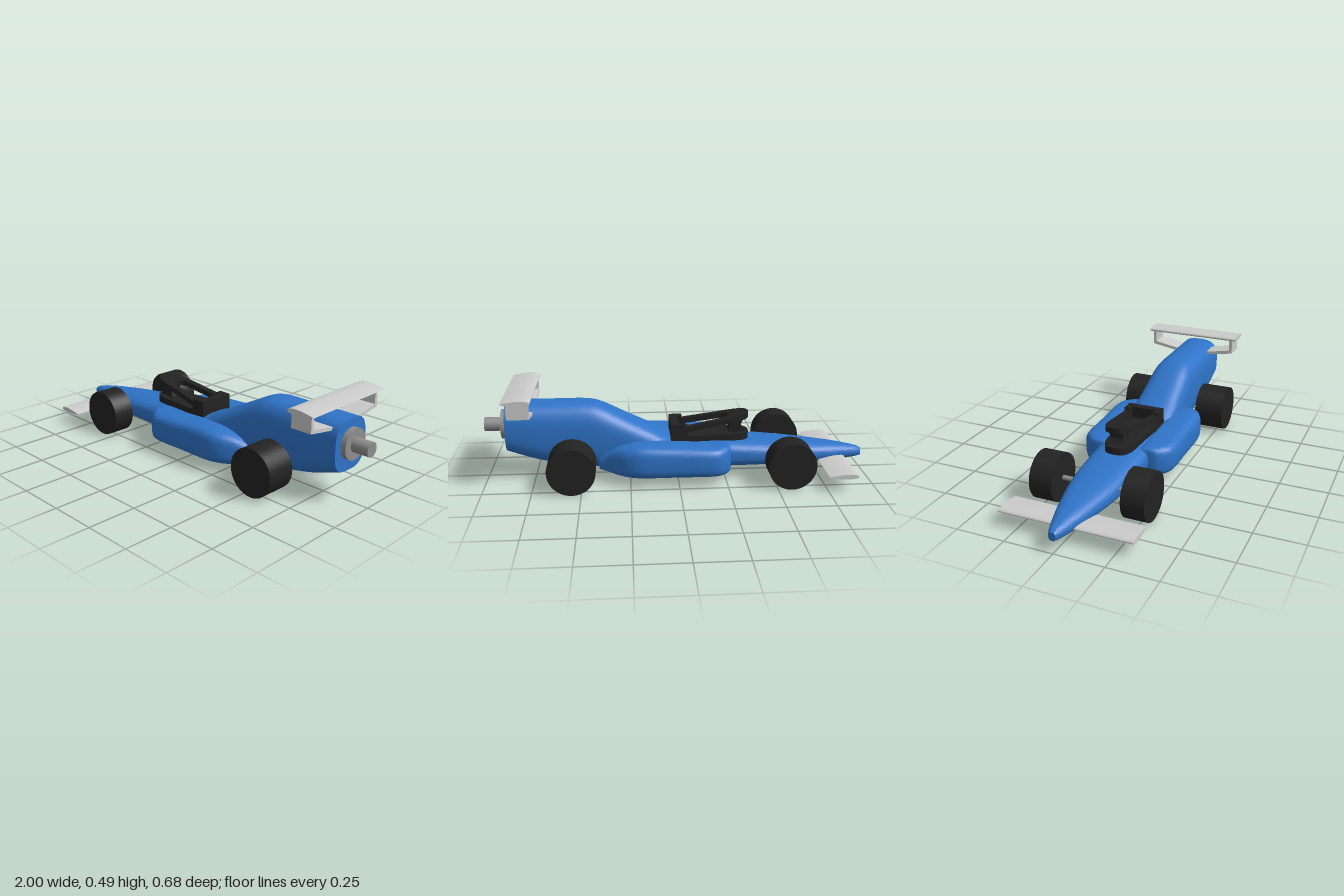
import * as THREE from 'three';
import { toCreasedNormals } from 'three/addons/utils/BufferGeometryUtils.js';

const mat = (color) => new THREE.MeshStandardMaterial({ color, side: THREE.DoubleSide });
const BLUE = mat(0x2f74c8), BLACK = mat(0x222222), GREY = mat(0xcccccc), STEEL = mat(0x8e8e8e);

// Loft closed [y, z] rings along x, capped at both ends
function loft(stations, ring, samples) {
  const curves = [1, 2, 3, 4].map((k) =>
    new THREE.SplineCurve(stations.map((s) => new THREE.Vector2(s[0], s[k]))));
  const pos = [], idx = [];
  let n = 0;
  for (let i = 0; i <= samples; i++) {
    const p = curves.map((c) => c.getPoint(i / samples));
    const pts = ring(p[0].x, ...p.map((v) => v.y));
    n = pts.length;
    for (const [y, z] of pts) pos.push(p[0].x, y, z);
  }
  for (let i = 0; i < samples; i++) {
    for (let j = 0; j < n; j++) {
      const a = i * n + j, b = i * n + (j + 1) % n;
      idx.push(a, a + n, b + n, a, b + n, b);
    }
  }
  for (const [row, end] of [[0, false], [samples, true]]) {
    const c = pos.length / 3;
    let y = 0, z = 0;
    for (let j = 0; j < n; j++) {
      y += pos[(row * n + j) * 3 + 1] / n;
      z += pos[(row * n + j) * 3 + 2] / n;
    }
    pos.push(pos[row * n * 3], y, z);
    for (let j = 0; j < n; j++) {
      const a = row * n + j, b = row * n + (j + 1) % n;
      if (end) idx.push(c, b, a); else idx.push(c, a, b);
    }
  }
  const g = new THREE.BufferGeometry();
  g.setAttribute('position', new THREE.Float32BufferAttribute(pos, 3));
  g.setIndex(idx);
  return toCreasedNormals(g, 0.7);
}

// Rounded-square section between y0..y1, z centre cz, half width hw
function superPoint(a, y0, y1, cz, hw, e) {
  const f = (v) => Math.sign(v) * Math.abs(v) ** (2 / e);
  return [(y0 + y1) / 2 - f(Math.cos(a)) * (y1 - y0) / 2, cz + f(Math.sin(a)) * hw];
}

// Body section with a narrow groove along the underside
function bodyRing(x, y0, y1, hw, e) {
  const w = Math.min(0.027, hw * 0.4);
  const a0 = Math.asin((w / hw) ** (e / 2));
  const pts = [];
  for (let i = 0; i <= 48; i++) pts.push(superPoint(a0 + (2 * Math.PI - 2 * a0) * i / 48, y0, y1, 0, hw, e));
  const floor = x > -0.62 && x < 0.7 ? Math.max(0.093, pts[0][0]) : pts[0][0];
  return [...pts, [floor, -w], [floor, w]];
}

function extrude(shape, depth, curveSegments = 20) {
  return new THREE.ExtrudeGeometry(shape, { depth, bevelEnabled: false, curveSegments });
}
const polygon = (pts) => new THREE.Shape(pts.map((p) => new THREE.Vector2(...p)));

// Rounded trapezoid in plan, narrow toward the nose
function plan(Type, x0, x1, w0, w1, r) {
  const s = new Type();
  s.moveTo(x1, -w1);
  s.lineTo(x1, w1);
  s.lineTo(x0 + r * 2, w0 + (w1 - w0) * 0.25);
  s.bezierCurveTo(x0 + r * 0.6, w0, x0, w0 * 0.8, x0, 0);
  s.bezierCurveTo(x0, -w0 * 0.8, x0 + r * 0.6, -w0, x0 + r * 2, -w0 - (w1 - w0) * 0.25);
  s.closePath();
  return s;
}

export function createModel() {
  const car = new THREE.Group();
  const add = (name, geo, material, x = 0, y = 0, z = 0) => {
    const m = new THREE.Mesh(geo, material);
    m.name = name;
    m.position.set(x, y, z);
    car.add(m);
    return m;
  };

  // Body: x, bottom, top, half width, squareness
  add('body', loft([
    [-1, 0.065, 0.108, 0.018, 2.2], [-0.97, 0.06, 0.12, 0.033, 2.2], [-0.9, 0.054, 0.135, 0.055, 2.3],
    [-0.8, 0.05, 0.15, 0.082, 2.4], [-0.6, 0.05, 0.172, 0.122, 2.6], [-0.4, 0.05, 0.19, 0.136, 2.8],
    [-0.2, 0.05, 0.203, 0.138, 3], [0.02, 0.05, 0.213, 0.134, 3], [0.12, 0.05, 0.255, 0.13, 3],
    [0.27, 0.05, 0.328, 0.126, 3], [0.4, 0.052, 0.393, 0.124, 3], [0.48, 0.06, 0.409, 0.122, 3],
    [0.6, 0.075, 0.41, 0.12, 3], [0.74, 0.105, 0.41, 0.118, 3], [0.885, 0.155, 0.408, 0.115, 3],
  ], bodyRing, 90), BLUE);

  for (const s of [1, -1]) {
    const side = s > 0 ? 'left' : 'right';

    // Side pods: x, bottom, top, outer z, squareness
    add(side + 'SidePod', loft([
      [-0.27, 0.062, 0.185, 0.165, 3], [-0.262, 0.052, 0.195, 0.19, 3.2], [-0.23, 0.046, 0.2, 0.225, 3.5],
      [-0.17, 0.045, 0.203, 0.25, 3.6], [0, 0.045, 0.212, 0.25, 3.6], [0.18, 0.045, 0.22, 0.25, 3.6],
      [0.26, 0.046, 0.21, 0.23, 3.4], [0.32, 0.05, 0.19, 0.192, 3.2], [0.37, 0.058, 0.16, 0.152, 3],
      [0.41, 0.065, 0.13, 0.128, 3],
    ], (x, y0, y1, out, e) => Array.from({ length: 40 }, (_, i) =>
      superPoint(i / 40 * Math.PI * 2, y0, y1, s * (out + 0.07) / 2, (out - 0.07) / 2, e)), 50), BLUE);

    // Wheels
    for (const [name, x, z0, z1] of [['Front', -0.57, 0.178, 0.297], ['Rear', 0.547, 0.14, 0.297]]) {
      const g = new THREE.CylinderGeometry(0.1225, 0.1225, z1 - z0, 64).rotateX(Math.PI / 2);
      add(side + name + 'Wheel', g, BLACK, x, 0.1225, s * (z0 + z1) / 2);
    }

    // Rear wing bracket: low arm out from the body, then an upright
    const bracket = extrude(polygon([
      [0.08, 0.362], [0.25, 0.39], [0.25, 0.472], [0.232, 0.472], [0.232, 0.406], [0.08, 0.378],
    ].map(([z, y]) => [-s * z, y])), 0.11).rotateY(Math.PI / 2);
    add(side + 'RearWingBracket', bracket, GREY, 0.74, 0, 0);
  }

  // Axles and tether guides
  for (const [name, x] of [['front', -0.57], ['rear', 0.547]]) {
    add(name + 'Axle', new THREE.CylinderGeometry(0.012, 0.012, 0.5, 24).rotateX(Math.PI / 2), STEEL, x, 0.1225);
    const eye = new THREE.Shape();
    eye.moveTo(0.025, 0.025);
    eye.lineTo(-0.025, 0.025);
    eye.lineTo(-0.025, 0);
    eye.lineTo(-0.033, 0);
    eye.absarc(0, 0, 0.033, Math.PI, Math.PI * 2, false);
    eye.lineTo(0.025, 0);
    eye.closePath();
    eye.holes.push(new THREE.Path().absarc(0, 0, 0.02, 0, Math.PI * 2, true));
    add(name + 'TetherGuide', extrude(eye, 0.025).rotateY(Math.PI / 2), STEEL, x - 0.0125, 0.068);
  }

  // Wings with a lens-like aerofoil section
  function wing(name, chord, thick, span, x, y) {
    const s = new THREE.Shape();
    s.moveTo(-chord / 2, 0);
    s.bezierCurveTo(-chord / 2, thick * 0.7, 0, thick * 0.7, chord / 2, 0);
    s.bezierCurveTo(chord * 0.2, -thick * 0.6, -chord / 2, -thick * 0.7, -chord / 2, 0);
    add(name, toCreasedNormals(extrude(s, span), 0.6), GREY, x, y, -span / 2);
  }
  wing('frontWing', 0.15, 0.025, 0.676, -0.825, 0.078);
  wing('rearWing', 0.145, 0.028, 0.54, 0.803, 0.476);

  // Tail flange and exhaust rod
  add('tailFlange', new THREE.CylinderGeometry(0.077, 0.077, 0.03, 48).rotateZ(Math.PI / 2), STEEL, 0.897, 0.288);
  add('exhaustRod', new THREE.CylinderGeometry(0.036, 0.036, 0.1, 40).rotateZ(Math.PI / 2), STEEL, 0.95, 0.288);

  // Cockpit floor plate with a round hole
  const floor = plan(THREE.Shape, -0.38, 0.037, 0.07, 0.1, 0.05);
  floor.holes.push(new THREE.Path().absarc(-0.053, 0, 0.024, 0, Math.PI * 2, true));
  add('cockpitPlate', extrude(floor, 0.04).rotateX(-Math.PI / 2), BLACK, 0, 0.188, 0);

  // Cockpit guard ring, sloping down to the rear
  const ring = plan(THREE.Shape, -0.378, 0.0, 0.065, 0.097, 0.05);
  ring.holes.push(plan(THREE.Path, -0.27, -0.01, 0.035, 0.062, 0.03));
  const guard = extrude(ring, 0.028).rotateX(-Math.PI / 2);
  const p = guard.attributes.position;
  for (let i = 0; i < p.count; i++) p.setY(i, p.getY(i) + 0.305 - (p.getX(i) + 0.378) * 0.17);
  guard.computeVertexNormals();
  add('cockpitGuard', guard, BLACK);

  // Guard pillar and rear block
  const pillar = polygon([[-0.37, 0.22], [-0.35, 0.24], [-0.335, 0.265], [-0.355, 0.31],
    [-0.27, 0.3], [-0.285, 0.27], [-0.27, 0.22]]);
  add('guardPillar', extrude(pillar, 0.07), BLACK, 0, 0, -0.035);
  const block = polygon([[-0.07, 0.215], [-0.04, 0.25], [-0.03, 0.29], [0.037, 0.29], [0.037, 0.2], [-0.07, 0.2]]);
  for (const s of [1, -1]) add('guardSideBlock', extrude(block, 0.035), BLACK, 0, 0, s * 0.08 - 0.0175);
  add('guardRearBlock', new THREE.BoxGeometry(0.042, 0.09, 0.18), BLACK, 0.016, 0.245);

  return car;
}
